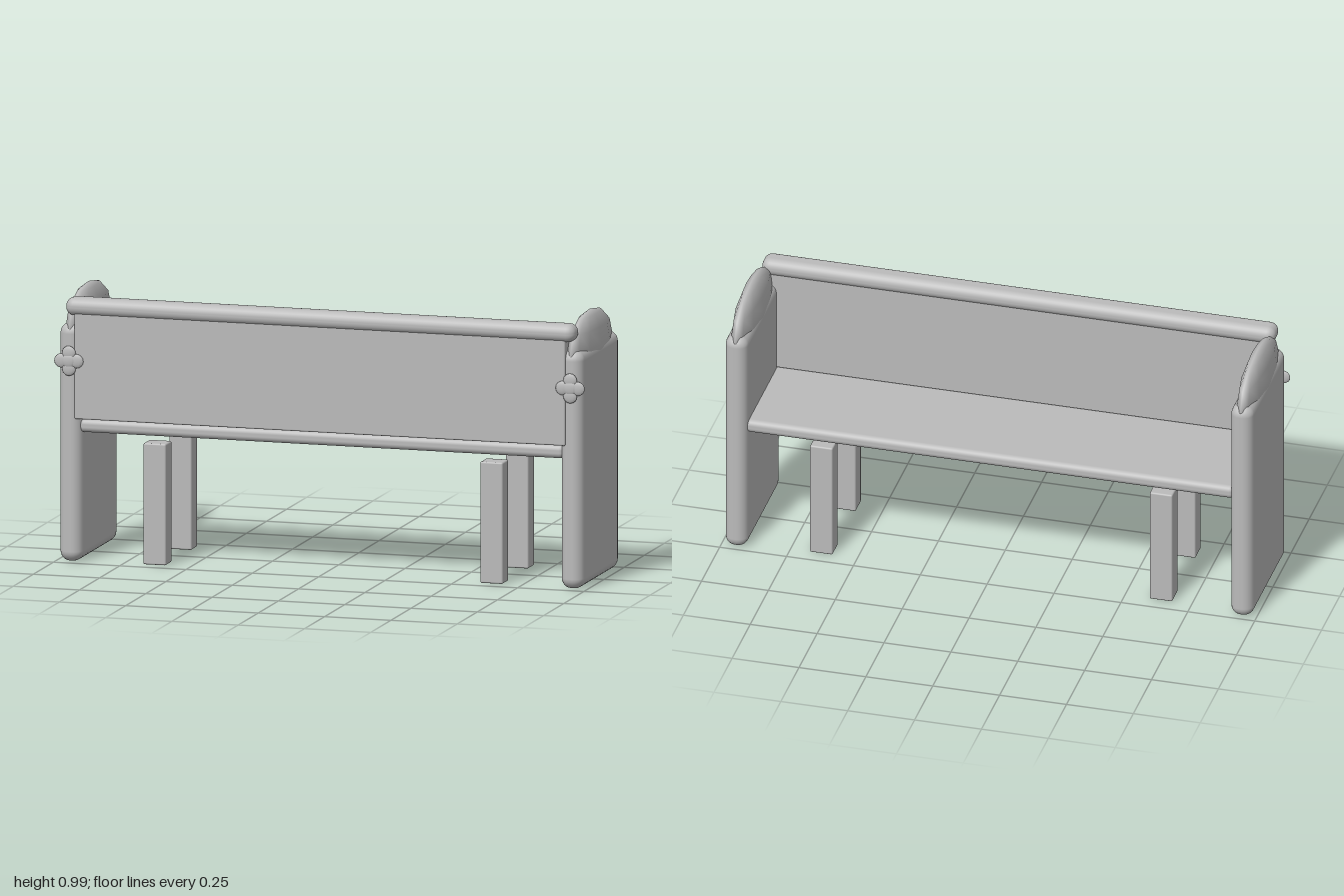
import * as THREE from 'three';
import { RoundedBoxGeometry } from 'three/addons/geometries/RoundedBoxGeometry.js';

export function createModel() {
  const group = new THREE.Group();
  const grey = new THREE.MeshStandardMaterial({ color: 0xbbbbbb });
  grey.name = 'plain grey';

  function add(name, geometry, x, y, z, parent = group) {
    const mesh = new THREE.Mesh(geometry, grey);
    mesh.name = name;
    mesh.position.set(x, y, z);
    parent.add(mesh);
    return mesh;
  }
  // Rounded block given by its size
  const block = (w, h, d, r) => new RoundedBoxGeometry(w, h, d, 3, r);

  // Seat, back board and top rail
  add('seat', block(1.83, 0.05, 0.44, 0.02), 0, 0.5, 0);
  add('backBoard', block(1.85, 0.4, 0.065, 0.006), 0, 0.727, 0.206);
  add('topRail', block(1.92, 0.066, 0.085, 0.031), 0, 0.938, 0.206);

  const panelGeo = block(0.085, 0.875, 0.48, 0.038);
  const capGeo = new THREE.SphereGeometry(1, 12, 6);
  const legGeo = block(0.085, 0.445, 0.075, 0.006);
  const petalGeo = new THREE.SphereGeometry(0.026, 12, 8);

  for (const side of [-1, 1]) {
    const label = side > 0 ? 'left' : 'right';
    const x = side * 0.945;

    // End panel with a domed cap
    add(label + 'EndPanel', panelGeo, x, 0.4375, -0.005);
    add(label + 'EndCap', capGeo, x, 0.86, -0.005).scale.set(0.044, 0.13, 0.243);

    // Flat rosette: a centre and four petals
    const rosette = new THREE.Group();
    rosette.name = label + 'Rosette';
    rosette.position.set(x, 0.74, 0.24);
    rosette.scale.z = 0.3;
    group.add(rosette);
    add('rosetteCentre', petalGeo, 0, 0, 0.007, rosette);
    for (let i = 0; i < 4; i++) {
      const a = (i * Math.PI) / 2;
      add('rosettePetal', petalGeo, 0.029 * Math.cos(a), 0.029 * Math.sin(a), 0, rosette);
    }

    // Square legs
    for (const z of [-0.16, 0.16]) {
      add(label + (z > 0 ? 'FrontLeg' : 'BackLeg'), legGeo, side * 0.635, 0.2225, z);
    }
  }
  return group;
}
